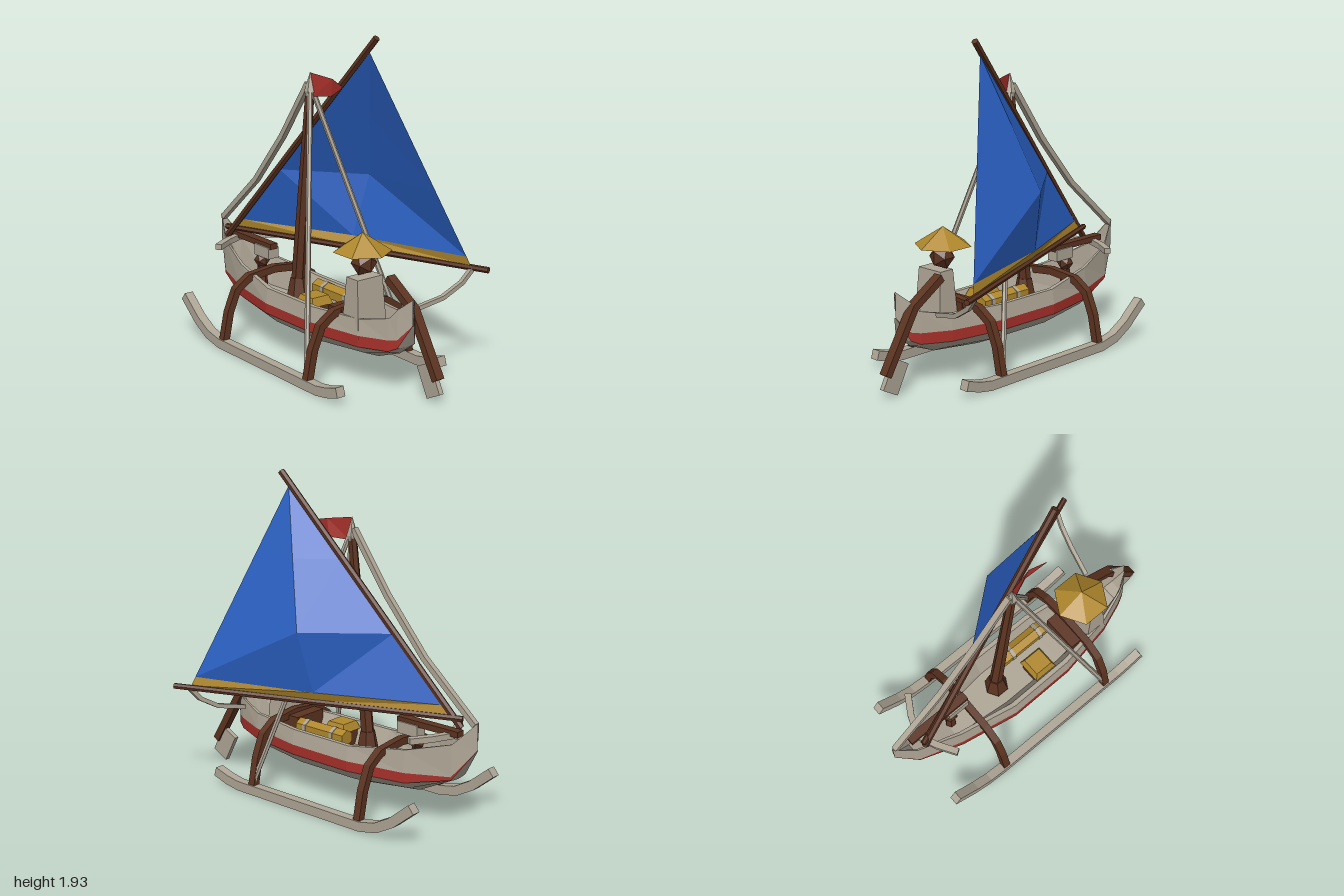
import * as THREE from 'three';

const mat = (name, color, side = THREE.FrontSide) => {
  const m = new THREE.MeshStandardMaterial({ color, side, flatShading: true });
  m.name = name;
  return m;
};
const V = (x, y, z) => new THREE.Vector3(x, y, z);

// Flat-faced geometry from a list of quads
function quads(list) {
  const pos = [];
  for (const [a, b, c, d] of list) for (const p of [a, b, c, a, c, d]) pos.push(p.x, p.y, p.z);
  const g = new THREE.BufferGeometry();
  g.setAttribute('position', new THREE.Float32BufferAttribute(pos, 3));
  g.computeVertexNormals();
  return g;
}

// Rectangular bar swept along points; w is measured along the fixed side vector
function sweep(points, side, w, h) {
  const n = points.length;
  const rings = points.map((p, i) => {
    const t = points[Math.min(i + 1, n - 1)].clone().sub(points[Math.max(i - 1, 0)]).normalize();
    const u = t.clone().cross(side).normalize();
    return [[-1, -1], [1, -1], [1, 1], [-1, 1]].map(([a, b]) =>
      p.clone().addScaledVector(side, a * w / 2).addScaledVector(u, b * h / 2));
  });
  const f = [[...rings[0]].reverse(), rings[n - 1]];
  for (let i = 0; i < n - 1; i++) for (let j = 0; j < 4; j++) {
    const k = (j + 1) % 4;
    f.push([rings[i][j], rings[i][k], rings[i + 1][k], rings[i + 1][j]]);
  }
  return quads(f);
}

// Straight round pole from a to b
function pole(a, b, r0, r1, sides = 6) {
  const d = b.clone().sub(a);
  const g = new THREE.CylinderGeometry(r1, r0, d.length(), sides);
  g.applyQuaternion(new THREE.Quaternion().setFromUnitVectors(V(0, 1, 0), d.normalize()));
  const c = a.clone().add(b).multiplyScalar(0.5);
  return g.translate(c.x, c.y, c.z);
}

// Box whose top face is scaled by sx, sz
function taperBox(w, h, d, sx, sz) {
  const g = new THREE.BoxGeometry(w, h, d), p = g.attributes.position;
  for (let i = 0; i < p.count; i++) if (p.getY(i) > 0) p.setXYZ(i, p.getX(i) * sx, p.getY(i), p.getZ(i) * sz);
  g.computeVertexNormals();
  return g;
}

export function createModel() {
  const model = new THREE.Group();
  model.name = 'outriggerSailboat';
  const pale = mat('paleWood', 0xaea595);
  const brown = mat('darkWood', 0x5c3320);
  const red = mat('redPaint', 0xa8302a, THREE.DoubleSide);
  const blue = mat('blueSailcloth', 0x2a60c2, THREE.DoubleSide);
  const gold = mat('straw', 0xb0882c, THREE.DoubleSide);
  const add = (name, geo, m, x = 0, y = 0, z = 0) => {
    const mesh = new THREE.Mesh(geo, m);
    mesh.name = name;
    mesh.position.set(x, y, z);
    model.add(mesh);
    return mesh;
  };
  const CX = -0.09;

  // Hull stations: z, half width, keel y, stripe bottom, stripe top, sheer y
  const stations = [
    [0.83, 0.006, 0.42, 0.42, 0.42, 0.57],
    [0.77, 0.065, 0.28, 0.285, 0.335, 0.51],
    [0.72, 0.09, 0.23, 0.26, 0.325, 0.45],
    [0.54, 0.155, 0.16, 0.25, 0.315, 0.41],
    [0.19, 0.215, 0.12, 0.25, 0.31, 0.4],
    [-0.235, 0.22, 0.12, 0.25, 0.31, 0.4],
    [-0.6, 0.15, 0.165, 0.25, 0.31, 0.445],
    [-0.87, 0.07, 0.3, 0.31, 0.33, 0.52],
    [-1, 0.005, 0.5, 0.5, 0.5, 0.66],
  ];
  const hullFaces = [], stripeFaces = [];
  for (const s of [1, -1]) {
    const rows = stations.map(([z, w, k, b0, b1, top]) => {
      const floor = Math.min(Math.max(0.27, k + 0.06), top - 0.03);
      return [[0, k], [0.64, k + 0.46 * (b0 - k)], [1, b0], [1, b1], [0.93, top],
        [0.8, top], [0.55, floor], [0, floor]].map(([f, y]) => V(CX + s * f * w, y, z));
    });
    for (let i = 0; i < rows.length - 1; i++) for (let k = 0; k < 7; k++) {
      const q = [rows[i][k], rows[i][k + 1], rows[i + 1][k + 1], rows[i + 1][k]];
      if (s > 0) q.reverse();
      (k === 2 ? stripeFaces : hullFaces).push(q);
    }
  }
  add('hull', quads(hullFaces), pale);
  add('hullStripe', quads(stripeFaces), red);

  // Outrigger floats, stays and arched crossbeams
  const floatPath = [[0.66, 0.075], [0.56, 0.045], [0.47, 0.03], [-0.48, 0.03], [-0.6, 0.055], [-0.71, 0.115], [-0.85, 0.23]];
  const capPoint = V(CX, 1.62, -0.085);
  for (const s of [1, -1]) {
    const x = CX + s * 0.372;
    add('outriggerFloat', sweep(floatPath.map(([z, y]) => V(x, y, z)), V(1, 0, 0), 0.056, 0.058), pale);
    add('sideStay', pole(V(x, 0.08, 0.36), capPoint, 0.016, 0.016), pale);
  }
  const arch = [[0.37, 0.05], [0.335, 0.22], [0.28, 0.35], [0.19, 0.41], [0, 0.43]];
  const beam = [...arch.map(([x, y]) => [-x, y]), ...arch.slice(0, -1).reverse()];
  for (const z of [0.365, -0.455])
    add('crossbeam', sweep(beam.map(([x, y]) => V(CX + x, y, z)), V(0, 0, 1), 0.045, 0.045), brown);

  // Mast, its step and cap, and the sagging end stay
  add('mast', pole(V(CX, 0.28, -0.225), V(CX, 1.6, -0.085), 0.042, 0.026), brown);
  add('mastStep', new THREE.CylinderGeometry(0.045, 0.075, 0.15, 6), brown, CX, 0.36, -0.21);
  add('mastCap', new THREE.ConeGeometry(0.034, 0.11, 6), pale, CX, 1.635, -0.085);
  add('mastCollar', new THREE.CylinderGeometry(0.034, 0.024, 0.04, 6), pale, CX, 1.56, -0.085);
  add('endStay', sweep([V(CX, 1.62, -0.1), V(CX, 1.27, -0.35), V(CX, 0.955, -0.62), V(CX, 0.64, -0.98)],
    V(1, 0, 0), 0.035, 0.032), pale);

  // Pennant
  const top = [V(CX, 1.685, -0.08), V(-0.05, 1.665, 0.07), V(-0.07, 1.64, 0.18)];
  const low = [V(CX, 1.55, -0.06), V(-0.045, 1.56, 0.05), V(-0.07, 1.63, 0.18)];
  add('pennant', quads([0, 1].map(i => [low[i], low[i + 1], top[i + 1], top[i]])), red);

  // Yard and boom
  add('yard', pole(V(-0.17, 0.57, -0.825), V(0.048, 1.92, 0.335), 0.021, 0.021), brown);
  add('boom', pole(V(-0.17, 0.625, -0.835), V(0.472, 0.625, 0.825), 0.018, 0.018), brown);

  // Sail: rows from foot to head with a belly in the middle column
  const tack = V(-0.145, 0.635, -0.765), clew = V(0.425, 0.635, 0.73), head = V(0.038, 1.84, 0.285);
  const sailRows = [[0, 0.01], [0.045, 0.04], [0.35, 0.155], [0.675, 0.08], [1, 0]].map(([t, belly]) => {
    const a = tack.clone().lerp(head, t), c = clew.clone().lerp(head, t);
    const m = a.clone().lerp(c, 0.5);
    m.x += belly;
    m.z -= belly * 0.4;
    return [a, m, c];
  });
  const sailBand = (i, j) => {
    const f = [];
    for (let r = i; r < j; r++) for (let k = 0; k < 2; k++)
      f.push([sailRows[r][k + 1], sailRows[r + 1][k + 1], sailRows[r + 1][k], sailRows[r][k]]);
    return quads(f);
  };
  add('sailHem', sailBand(0, 1), gold);
  add('sail', sailBand(1, 4), blue);

  // Sheet from the boom to the hull
  add('sheet', sweep([V(0.43, 0.615, 0.73), V(0.37, 0.545, 0.715), V(0.25, 0.475, 0.69), V(0.06, 0.43, 0.65)],
    V(0, 0, 1), 0.026, 0.026), pale);

  // Steering oar
  const OX = -0.025;
  add('oarShaft', sweep([V(OX, 0.61, 0.55), V(OX, 0.48, 0.755), V(OX, 0.13, 0.965)], V(1, 0, 0), 0.055, 0.045), brown);
  add('oarBlade', sweep([V(OX, 0.195, 0.857), V(OX, 0.03, 0.943)], V(1, 0, 0), 0.03, 0.115), pale);

  // Seated sailor with a straw hat
  add('sailorBody', taperBox(0.21, 0.33, 0.15, 0.85, 0.65), pale, -0.14, 0.46, 0.47);
  add('sailorHead', new THREE.IcosahedronGeometry(0.075, 0), brown, -0.12, 0.69, 0.44);
  add('strawHat', new THREE.ConeGeometry(0.168, 0.11, 6, 1, true), gold, -0.122, 0.81, 0.43);

  // Cargo: bench chest, crate with lid, and a strapped roll
  add('chest', new THREE.BoxGeometry(0.23, 0.15, 0.12), brown, -0.125, 0.35, 0.33);
  add('crate', new THREE.BoxGeometry(0.13, 0.11, 0.13), brown, -0.172, 0.315, 0.055);
  add('crateLid', taperBox(0.155, 0.05, 0.155, 0.75, 0.75), gold, -0.172, 0.39, 0.055);
  add('clothRoll', pole(V(-0.01, 0.385, -0.12), V(-0.01, 0.385, 0.245), 0.05, 0.05), gold);
  for (const z of [-0.03, 0.18])
    add('rollStrap', pole(V(-0.01, 0.385, z - 0.012), V(-0.01, 0.385, z + 0.012), 0.054, 0.054), pale);

  // Swivel crossbow at the raised end
  add('crossbowPost', new THREE.CylinderGeometry(0.025, 0.035, 0.22, 6), brown, CX, 0.4, -0.575);
  add('crossbowPivot', new THREE.IcosahedronGeometry(0.05, 0), brown, CX, 0.455, -0.575);
  add('crossbowStock', new THREE.BoxGeometry(0.055, 0.035, 0.43), brown, CX, 0.567, -0.665);
  add('crossbowBlock', new THREE.BoxGeometry(0.075, 0.07, 0.145), pale, CX, 0.525, -0.53);
  add('crossbowArms', sweep([[-0.235, -0.7], [-0.12, -0.77], [0, -0.82], [0.12, -0.77], [0.235, -0.7]]
    .map(([x, z]) => V(CX + x, 0.548, z)), V(0, 1, 0), 0.035, 0.04), pale);

  return model;
}
